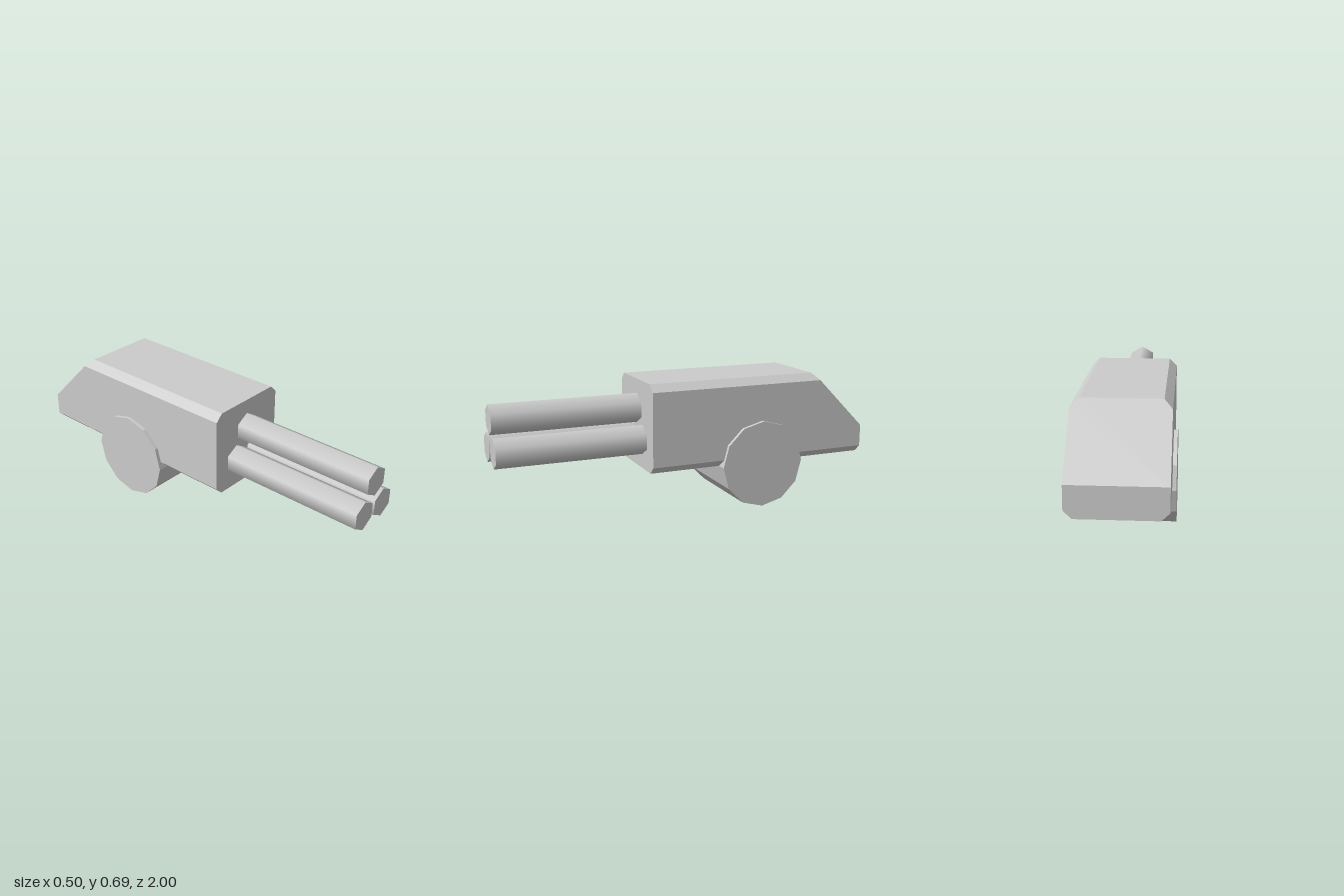
import * as THREE from 'three';
import { ConvexGeometry } from 'three/addons/geometries/ConvexGeometry.js';

export function createModel() {
  const model = new THREE.Group();
  const smooth = new THREE.MeshStandardMaterial({ color: 0xcccccc });
  const flat = new THREE.MeshStandardMaterial({ color: 0xcccccc, flatShading: true });

  const add = (name, geometry, material, x = 0, y = 0, z = 0) => {
    const mesh = new THREE.Mesh(geometry, material);
    mesh.name = name;
    mesh.position.set(x, y, z);
    model.add(mesh);
  };

  // Housing: chamfered box whose upper rear is cut at 45 degrees
  const front = 0.231, back = -1, cutY = 0.385;
  const profile = [[0.192, 0.231], [0.231, 0.269], [0.231, cutY], [0.231, 0.654], [0.192, 0.692]];
  const points = [];
  for (const side of [-1, 1]) {
    for (const [x, y] of profile) {
      points.push(new THREE.Vector3(side * x, y, back + Math.max(0, y - cutY)));
      if (y !== cutY) points.push(new THREE.Vector3(side * x, y, front));
    }
  }
  add('housing', new ConvexGeometry(points), flat);

  // Twelve-sided roller across the underside
  const roller = new THREE.CylinderGeometry(0.231, 0.231, 0.5, 12).rotateZ(Math.PI / 2);
  add('roller', roller, flat, 0, 0.231, -0.385);

  // Three hexagonal barrels in a triangle
  const barrel = new THREE.CylinderGeometry(0.077, 0.077, 0.77, 6).rotateX(Math.PI / 2);
  add('topBarrel', barrel, smooth, 0, 0.539, 0.615);
  add('leftBarrel', barrel, smooth, 0.077, 0.385, 0.615);
  add('rightBarrel', barrel, smooth, -0.077, 0.385, 0.615);

  return model;
}
